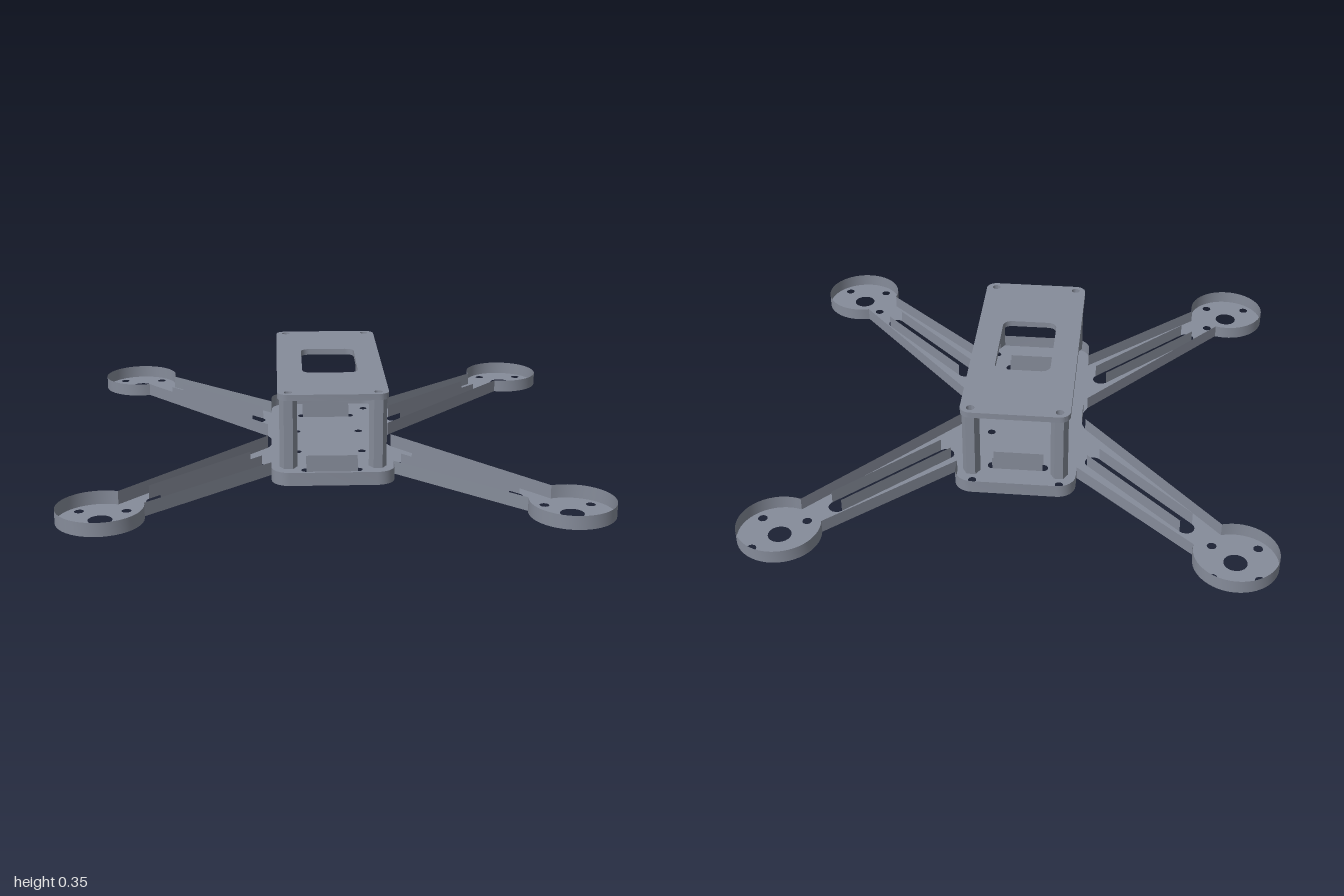
import * as THREE from 'three';
import { toCreasedNormals } from 'three/addons/utils/BufferGeometryUtils.js';

const V = (x, y) => new THREE.Vector2(x, y);
const H = 0.052; // frame edge height
const MOUNT = 0.842, MOUNT_R = 0.158;
const SIGNS = [[1, 1], [-1, 1], [-1, -1], [1, -1]];

function arc(cx, cy, r, a0, a1, n) {
  return Array.from({ length: n + 1 }, (_, i) => {
    const a = a0 + (a1 - a0) * i / n;
    return V(cx + r * Math.cos(a), cy + r * Math.sin(a));
  });
}

const circle = (x, y, r, n = 24) => arc(x, y, r, 0, Math.PI * 2 * (n - 1) / n, n - 1);

// Rounded slot between two points
function slot(a, b, r) {
  const t = Math.atan2(b.y - a.y, b.x - a.x);
  return [
    ...arc(b.x, b.y, r, t - Math.PI / 2, t + Math.PI / 2, 8),
    ...arc(a.x, a.y, r, t + Math.PI / 2, t + Math.PI * 1.5, 8),
  ];
}

function roundedRect(hx, hy, r) {
  return SIGNS.flatMap(([sx, sy], i) =>
    arc(sx * (hx - r), sy * (hy - r), r, i * Math.PI / 2, (i + 1) * Math.PI / 2, 6));
}

function shapeWithHoles(outline, holes) {
  const shape = new THREE.Shape(outline);
  shape.holes = holes.map((h) => new THREE.Path(h));
  return shape;
}

// Upright strips along plan edges [p, q]
function walls(edges) {
  const pos = [];
  for (const [p, q] of edges) {
    pos.push(p.x, 0, p.y, q.x, H, q.y, q.x, 0, q.y);
    pos.push(p.x, 0, p.y, p.x, H, p.y, q.x, H, q.y);
  }
  const g = new THREE.BufferGeometry();
  g.setAttribute('position', new THREE.Float32BufferAttribute(pos, 3));
  return toCreasedNormals(g, 0.5);
}

// Flat plate lying in the ground plane, thickness rising from y
function plate(shape, depth, y) {
  const g = new THREE.ExtrudeGeometry(shape, { depth, bevelEnabled: false });
  g.rotateX(Math.PI / 2).translate(0, y + depth, 0);
  return toCreasedNormals(g, 0.5);
}

export function createModel() {
  const model = new THREE.Group();
  const grey = new THREE.MeshStandardMaterial({ color: 0x868c9a, side: THREE.DoubleSide });
  grey.name = 'slate grey';
  const add = (name, geometry) => {
    const mesh = new THREE.Mesh(geometry, grey);
    mesh.name = name;
    model.add(mesh);
    return mesh;
  };

  // Frame outline: one quarter, mirrored round
  const quarter = [
    V(0.235, 0.04), V(0.25, 0.075),
    ...arc(MOUNT, MOUNT, MOUNT_R, -1.89, 3.327, 40),
    V(0.235, 0.4),
    ...arc(0.165, 0.455, 0.07, 0, Math.PI / 2, 8),
  ];
  const outline = SIGNS.flatMap(([sx, sz]) => {
    const pts = quarter.map((p) => V(p.x * sx, p.y * sz));
    return sx * sz > 0 ? pts : pts.reverse();
  });

  // Cutouts: arm slots, strap slots, motor and screw holes
  const slots = [], holes = [];
  for (const [sx, sz] of SIGNS) {
    slots.push(slot(V(0.295 * sx, 0.295 * sz), V(0.662 * sx, 0.662 * sz), 0.033));
    holes.push(circle(MOUNT * sx, MOUNT * sz, 0.044));
    for (const [dx, dz] of SIGNS) {
      holes.push(circle(MOUNT * sx + 0.085 * dx, MOUNT * sz + 0.085 * dz, 0.018, 16));
    }
    holes.push(circle(0.13 * sx, 0.13 * sz, 0.016, 16));
    holes.push(circle(0.17 * sx, 0.45 * sz, 0.016, 16));
  }
  for (const s of [1, -1]) slots.push(slot(V(-0.1, 0.35 * s), V(0.1, 0.35 * s), 0.02));

  const floor = new THREE.ShapeGeometry(shapeWithHoles(outline, [...slots, ...holes]));
  add('frameFloor', floor.rotateX(Math.PI / 2));

  // Rim, left open at the small fillets between arms and body
  const isFillet = (p, q) => {
    const a = Math.abs(p.y), b = Math.abs(q.y);
    return Math.min(a, b) === 0.04 && Math.max(a, b) === 0.075;
  };
  const rim = outline.map((p, i) => [p, outline[(i + 1) % outline.length]]);
  add('frameRim', walls(rim.filter(([p, q]) => !isFillet(p, q))));

  // Straight sides of the slots
  add('slotWalls', walls(slots.flatMap((s) => [[s[8], s[9]], [s[17], s[0]]])));

  // Hollow hexagonal standoffs
  for (const [sx, sz] of SIGNS) {
    const hex = shapeWithHoles(circle(0, 0, 0.034, 6), [circle(0, 0, 0.016, 16)]);
    add('standoff', plate(hex, 0.27, H)).position.set(0.17 * sx, 0, 0.45 * sz);
  }

  // Top plate with central window and screw holes
  const top = shapeWithHoles(roundedRect(0.211, 0.483, 0.04), [
    roundedRect(0.11, 0.18, 0.035),
    ...SIGNS.map(([sx, sz]) => circle(0.17 * sx, 0.45 * sz, 0.016, 16)),
  ]);
  add('topPlate', plate(top, 0.024, H + 0.27));

  return model;
}
